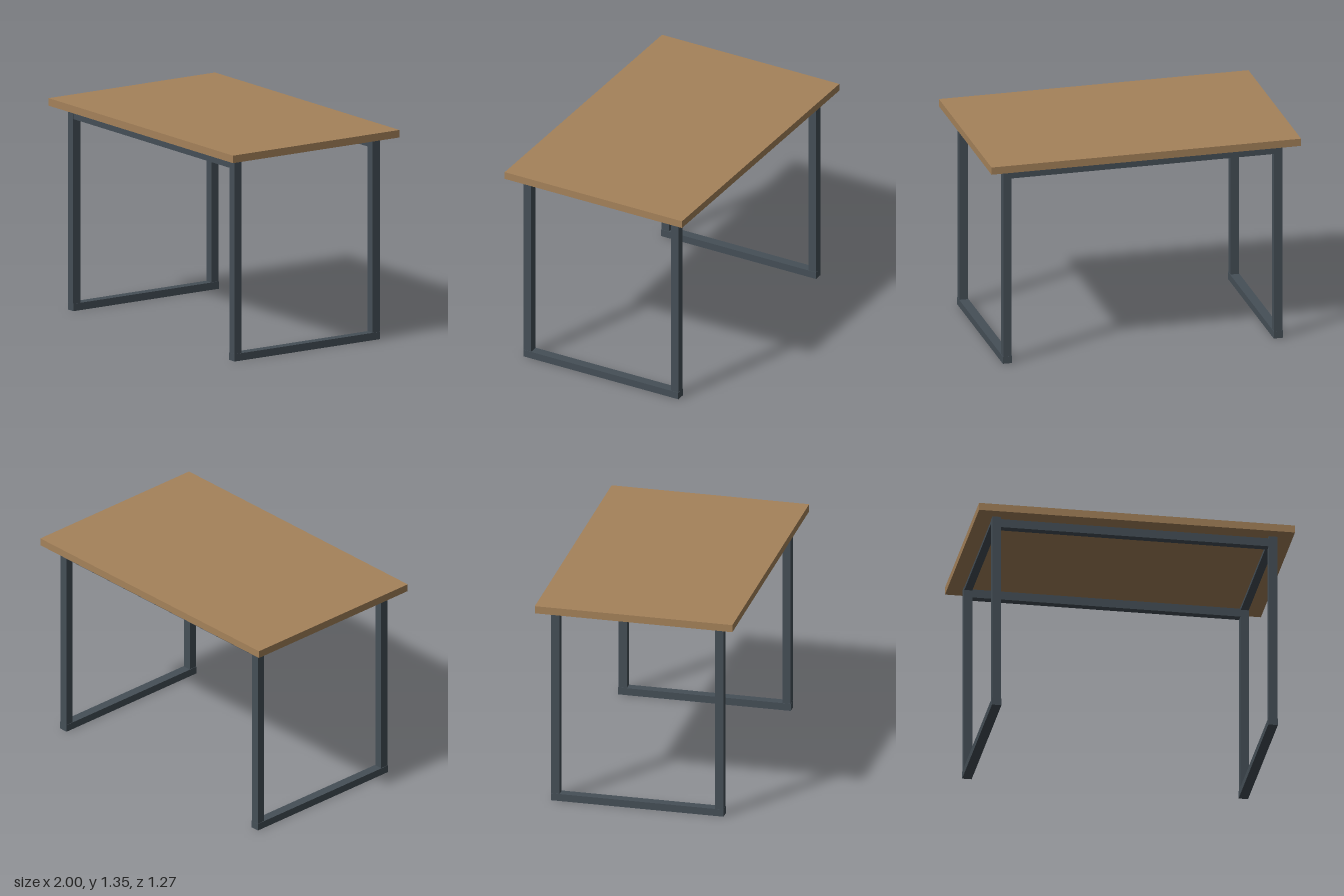
import * as THREE from 'three';

export function createModel() {
  const model = new THREE.Group();
  const wood = new THREE.MeshStandardMaterial({ color: 0xa5825a });
  const steel = new THREE.MeshStandardMaterial({ color: 0x454f57 });

  // Box given by its size, centre x and z, and lower edge
  const box = (parent, name, material, [w, h, d], x, y, z) => {
    const mesh = new THREE.Mesh(new THREE.BoxGeometry(w, h, d), material);
    mesh.name = name;
    mesh.position.set(x, y + h / 2, z);
    parent.add(mesh);
  };

  const legX = 0.875, legZ = 0.527, under = 1.297;

  box(model, 'tableTop', wood, [2, 0.048, 1.27], 0, under, 0);

  // Closed rectangular leg frame at each end
  for (const side of [1, -1]) {
    const frame = new THREE.Group();
    frame.name = side > 0 ? 'leftLegFrame' : 'rightLegFrame';
    frame.position.x = side * legX;
    for (const end of [1, -1]) {
      box(frame, end > 0 ? 'frontLeg' : 'backLeg', steel, [0.054, under - 0.003, 0.054], 0, 0.003, end * legZ);
    }
    box(frame, 'footRail', steel, [0.06, 0.047, 1.11], 0, 0, 0);
    box(frame, 'topRail', steel, [0.05, 0.022, 1.0], 0, under - 0.022, 0);
    model.add(frame);
  }

  // Long rails joining the two frames
  for (const end of [1, -1]) {
    box(model, end > 0 ? 'frontRail' : 'backRail', steel, [1.7, 0.055, 0.05], 0, 1.228, end * legZ);
  }
  return model;
}
